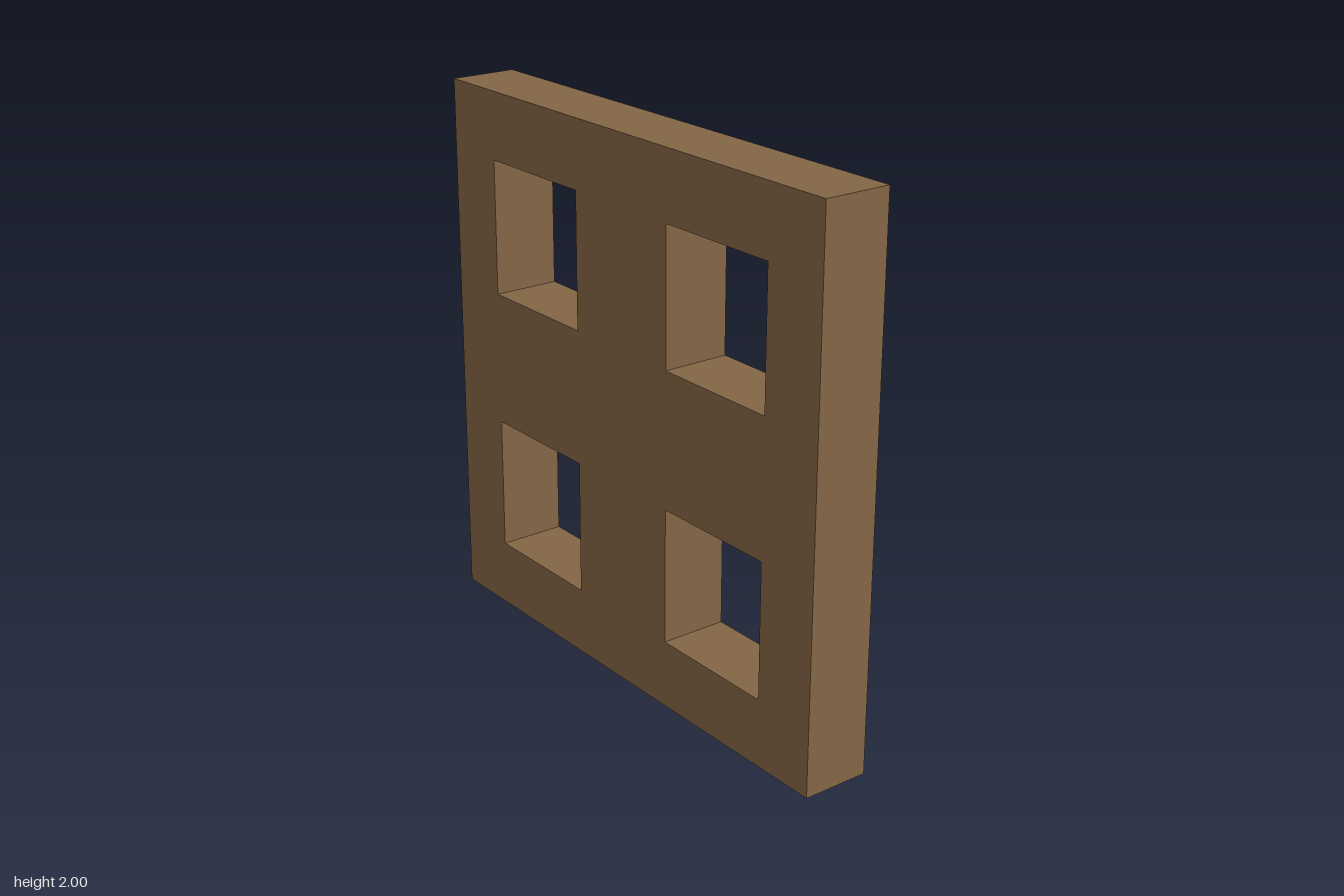
import * as THREE from 'three';

const DEPTH = 0.25;

// Traces a rectangle centred on (x, y) onto a shape or path
function rect(path, x, y, w, h) {
  path.moveTo(x - w / 2, y - h / 2);
  path.lineTo(x + w / 2, y - h / 2);
  path.lineTo(x + w / 2, y + h / 2);
  path.lineTo(x - w / 2, y + h / 2);
  path.closePath();
  return path;
}

export function createModel() {
  const wood = new THREE.MeshStandardMaterial({ color: 0x836545 });
  wood.name = 'brown wood';

  // Square panel with a 2 x 2 grid of square openings
  const outline = rect(new THREE.Shape(), 0, 1, 2, 2);
  for (const x of [-0.5, 0.5]) {
    for (const y of [0.5, 1.5]) {
      outline.holes.push(rect(new THREE.Path(), x, y, 0.5, 0.5));
    }
  }
  const geometry = new THREE.ExtrudeGeometry(outline, { depth: DEPTH, bevelEnabled: false });
  geometry.translate(0, 0, -DEPTH / 2);

  const frame = new THREE.Mesh(geometry, wood);
  frame.name = 'windowFrame';

  const model = new THREE.Group();
  model.name = 'latticePanel';
  model.add(frame);
  return model;
}
